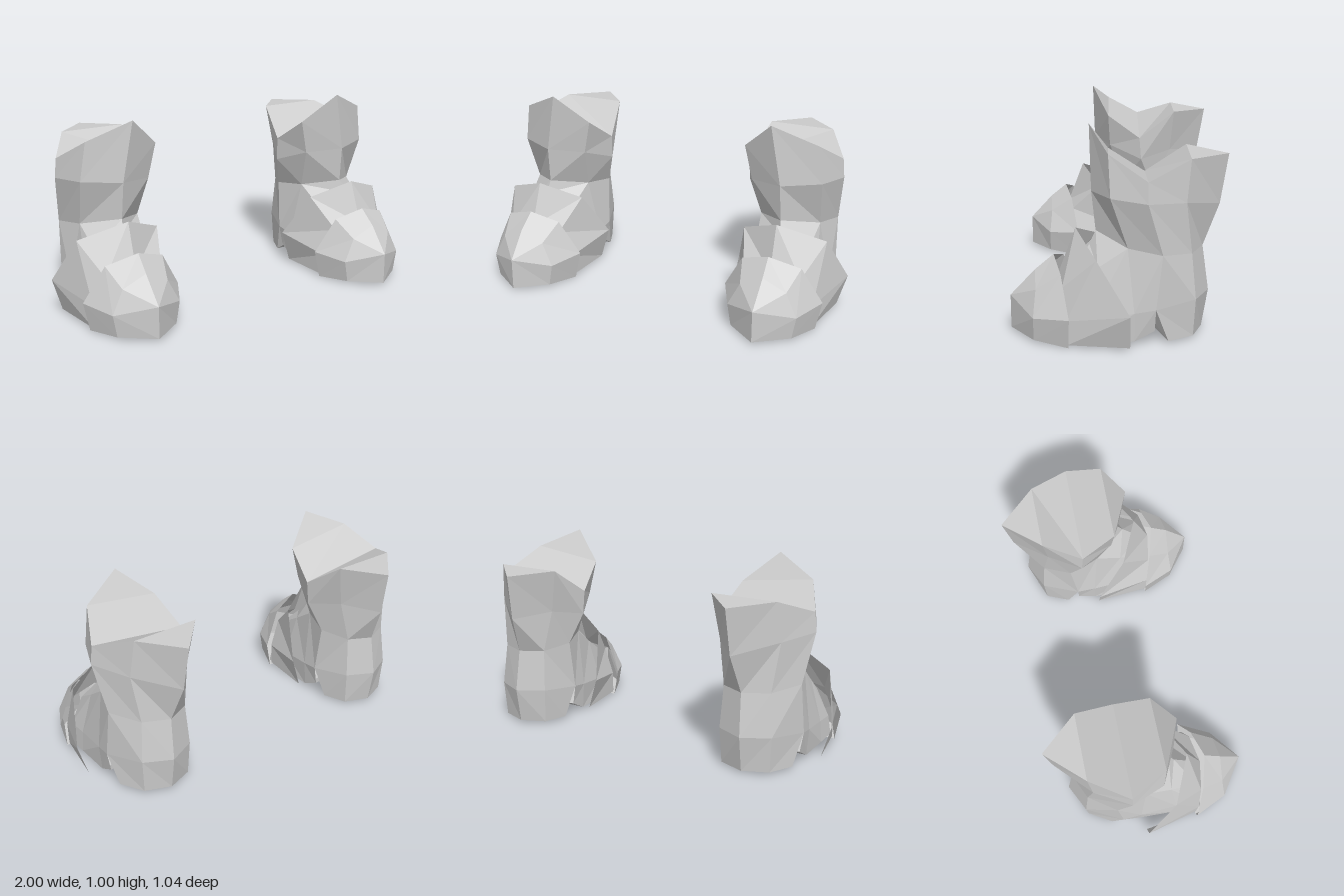
import * as THREE from 'three';

// Skin a list of rings (counter-clockwise seen from the first ring's side) with flat facets.
// side = -1 mirrors across x and flips the winding.
function loft(rings, side, { closed = true, caps = [] } = {}) {
  const out = [];
  const tri = (a, b, c) => {
    for (const p of side > 0 ? [a, b, c] : [a, c, b]) out.push(p[0] * side, p[1], p[2]);
  };
  const n = rings[0].length;
  for (let r = 0; r + 1 < rings.length; r++) {
    const u = rings[r], l = rings[r + 1];
    for (let i = 0; i < (closed ? n : n - 1); i++) {
      const j = (i + 1) % n;
      tri(u[i], l[i], l[j]);
      tri(u[i], l[j], u[j]);
    }
  }
  for (const { ring, faces } of caps) for (const [a, b, c] of faces) tri(ring[a], ring[b], ring[c]);
  const g = new THREE.BufferGeometry();
  g.setAttribute('position', new THREE.Float32BufferAttribute(out, 3));
  g.computeVertexNormals();
  return g;
}

// Arch of points, right bottom over the top to left bottom; half = [halfWidth, y, z] bottom to top.
function arch(cx, half) {
  const right = half.map(([w, y, z]) => [cx + w, y, z]);
  const left = half.slice(0, -1).reverse().map(([w, y, z]) => [cx - w, y, z]);
  return [...right, ...left];
}

// Shaft rings: rear, rear inner, inner, front inner, front, front outer, outer, rear outer
const shaftRings = [
  [[.625, .86, -.52], [.46, .87, -.33], [.41, .725, -.13], [.45, .85, .05],
    [.615, 1, .14], [.83, .9, .05], [.915, .79, -.13], [.8, .87, -.33]],
  [[.635, .62, -.48], [.5, .64, -.31], [.415, .6, -.14], [.49, .67, .04],
    [.67, .69, .13], [.86, .7, .04], [.925, .69, -.13], [.82, .67, -.31]],
  [[.66, .42, -.4], [.54, .42, -.34], [.47, .44, -.2], [.52, .46, -.04],
    [.675, .5, .11], [.84, .46, -.04], [.89, .44, -.2], [.79, .42, -.34]],
  [[.67, .2, -.43], [.53, .2, -.36], [.46, .18, -.17], [.53, .19, -.1],
    [.68, .19, 0], [.83, .19, -.1], [.9, .18, -.17], [.81, .2, -.36]],
  [[.67, .015, -.4], [.54, .015, -.35], [.49, .015, -.23], [.53, .07, -.165],
    [.68, .07, -.165], [.83, .07, -.165], [.87, .015, -.23], [.8, .015, -.35]],
];
const topFaces = [[0, 1, 7], [1, 2, 7], [2, 6, 7], [2, 5, 6], [2, 3, 5], [3, 4, 5]];
const heelFaces = [[0, 7, 1], [1, 7, 2], [2, 7, 6], [2, 6, 3], [3, 6, 5], [3, 5, 4]];

// Foot sections from front to back, the last two meeting the shaft's ankle seam
const footRings = [
  arch(.685, [[.2, .012, .27], [.19, .12, .25], [.12, .26, .25], [0, .3, .25]]),
  arch(.685, [[.2, .015, .13], [.19, .13, .13], [.14, .36, .1], [0, .435, .14]]),
  arch(.68, [[.2, .018, -.07], [.21, .16, -.07], [.16, .46, -.04], [-.005, .5, .11]]),
  arch(.68, [[.2, .07, -.165], [.22, .18, -.17], [.21, .44, -.2], [0, .44, -.15]]),
];
const fan = [[0, 1, 2], [0, 2, 3], [0, 3, 4], [0, 4, 5], [0, 5, 6]];

// Flared overlapping plate across the instep, tucked under the toe cap
const instepRings = [
  arch(.69, [[.215, .012, .24], [.215, .13, .245], [.15, .27, .265], [0, .29, .29]]),
  arch(.7, [[.25, .015, -.05], [.3, .185, -.05], [.22, .428, .105], [-.015, .515, .205]]),
];

// Pointed toe cap
const toeRings = [
  arch(.685, [[0, .015, .52], [0, .18, .52], [0, .18, .52], [0, .18, .52]]),
  arch(.69, [[.16, .015, .4], [.18, .13, .4], [.12, .25, .39], [0, .31, .4]]),
  arch(.69, [[.23, .003, .235], [.26, .15, .23], [.155, .335, .27], [-.005, .385, .31]]),
];

export function createModel() {
  const grey = new THREE.MeshStandardMaterial({ color: 0xcccccc, side: THREE.DoubleSide, flatShading: true });
  grey.name = 'plateGrey';
  const model = new THREE.Group();
  model.name = 'armouredBoots';

  for (const side of [1, -1]) {
    const boot = new THREE.Group();
    boot.name = side > 0 ? 'leftBoot' : 'rightBoot';
    const add = (name, geometry) => {
      const mesh = new THREE.Mesh(geometry, grey);
      mesh.name = name;
      boot.add(mesh);
    };
    add('shaft', loft(shaftRings, side, {
      caps: [{ ring: shaftRings[0], faces: topFaces }, { ring: shaftRings[4], faces: heelFaces }],
    }));
    add('foot', loft(footRings, side, { caps: [{ ring: footRings[0], faces: fan }] }));
    add('instepPlate', loft(instepRings, side, { closed: false }));
    add('toeCap', loft(toeRings, side));
    model.add(boot);
  }
  return model;
}
